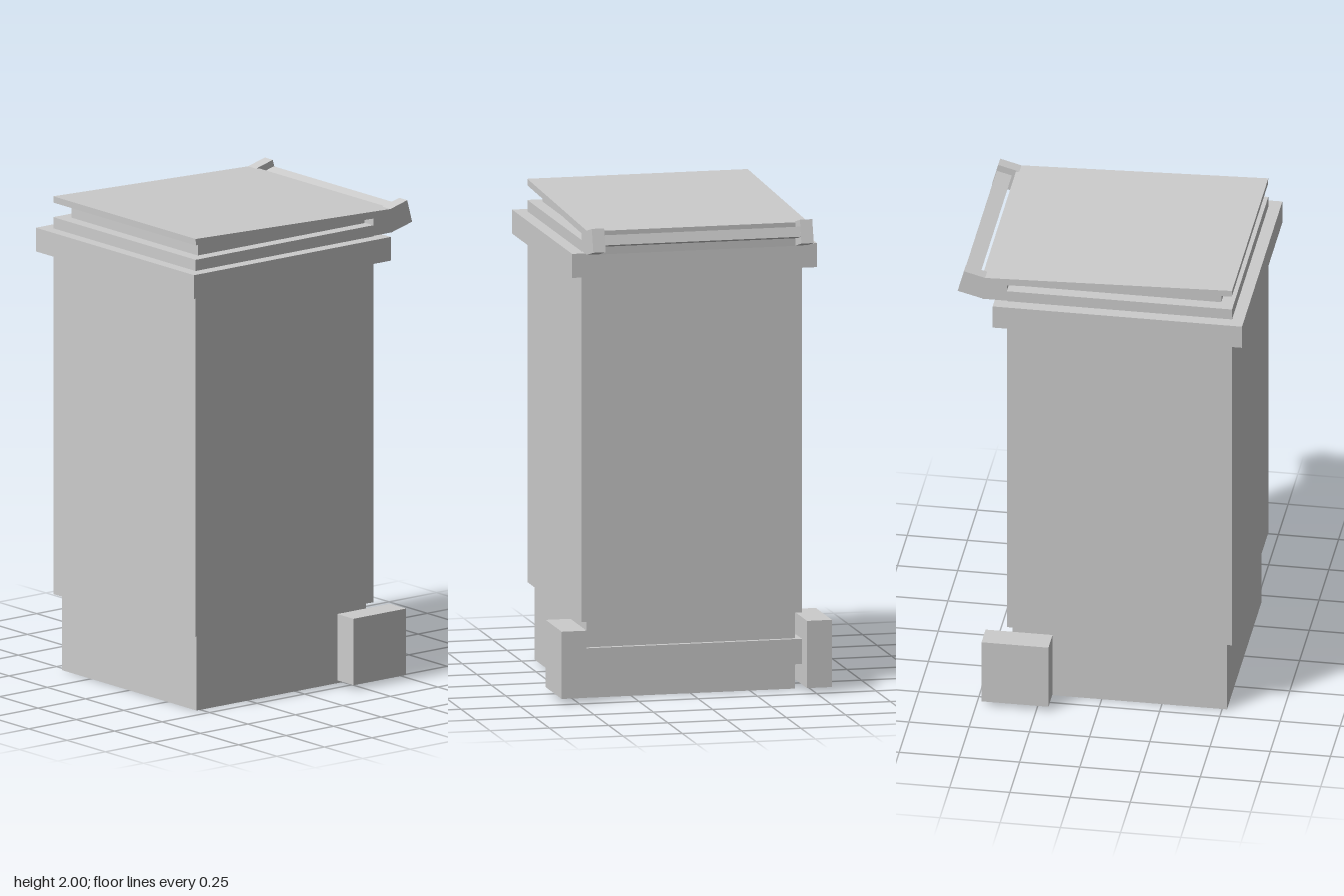
import * as THREE from 'three';

const material = new THREE.MeshStandardMaterial({ color: 0xcccccc, flatShading: true });

export function createModel() {
  const group = new THREE.Group();
  group.name = 'wheeledBin';

  const add = (name, geometry) => {
    const mesh = new THREE.Mesh(geometry, material);
    mesh.name = name;
    group.add(mesh);
  };

  // Box given by its [min, max] range on each axis
  const box = (name, [x0, x1], [y0, y1], [z0, z1]) =>
    add(name, new THREE.BoxGeometry(x1 - x0, y1 - y0, z1 - z0)
      .translate((x0 + x1) / 2, (y0 + y1) / 2, (z0 + z1) / 2));

  // Side profile of [z, y] points, extruded across x from x0 to x1
  const profile = (name, points, x0, x1) => {
    const shape = new THREE.Shape(points.map(([z, y]) => new THREE.Vector2(z, y)));
    const geometry = new THREE.ExtrudeGeometry(shape, { depth: x1 - x0, bevelEnabled: false });
    add(name, geometry.rotateY(-Math.PI / 2).translate(x1, 0, 0));
  };

  // Container, stacked from the ground up
  box('base', [-0.44, 0.44], [0, 0.32], [-0.37, 0.52]);
  box('body', [-0.465, 0.465], [0.32, 1.765], [-0.39, 0.545]);
  box('rim', [-0.517, 0.517], [1.765, 1.865], [-0.44, 0.595]);
  box('collar', [-0.465, 0.465], [1.865, 1.912], [-0.39, 0.545]);

  // Inner lip, its top following the slope of the lid
  profile('innerLip', [[0.492, 1.912], [0.492, 1.974], [-0.385, 1.944], [-0.385, 1.912]], -0.413, 0.413);

  // Sloping lid with a deep hinge block at the back
  profile('lid', [[0.545, 2], [0.544, 1.973], [-0.39, 1.94], [-0.39, 1.867],
    [-0.49, 1.867], [-0.494, 1.966]], -0.465, 0.465);

  // Upturned handle arms and the bar between them
  for (const x of [-0.465, 0.413]) {
    profile('handleArm', [[-0.478, 1.966], [-0.568, 1.99], [-0.594, 1.895], [-0.486, 1.867]], x, x + 0.052);
  }
  profile('handleBar', [[-0.511, 1.945], [-0.573, 1.962], [-0.585, 1.922], [-0.523, 1.905]], -0.413, 0.413);

  // Axle and square wheels
  box('axle', [-0.468, 0.468], [0.105, 0.21], [-0.391, -0.285]);
  box('leftWheel', [0.465, 0.57], [0.02, 0.3], [-0.478, -0.2]);
  box('rightWheel', [-0.57, -0.465], [0.02, 0.3], [-0.478, -0.2]);

  return group;
}
